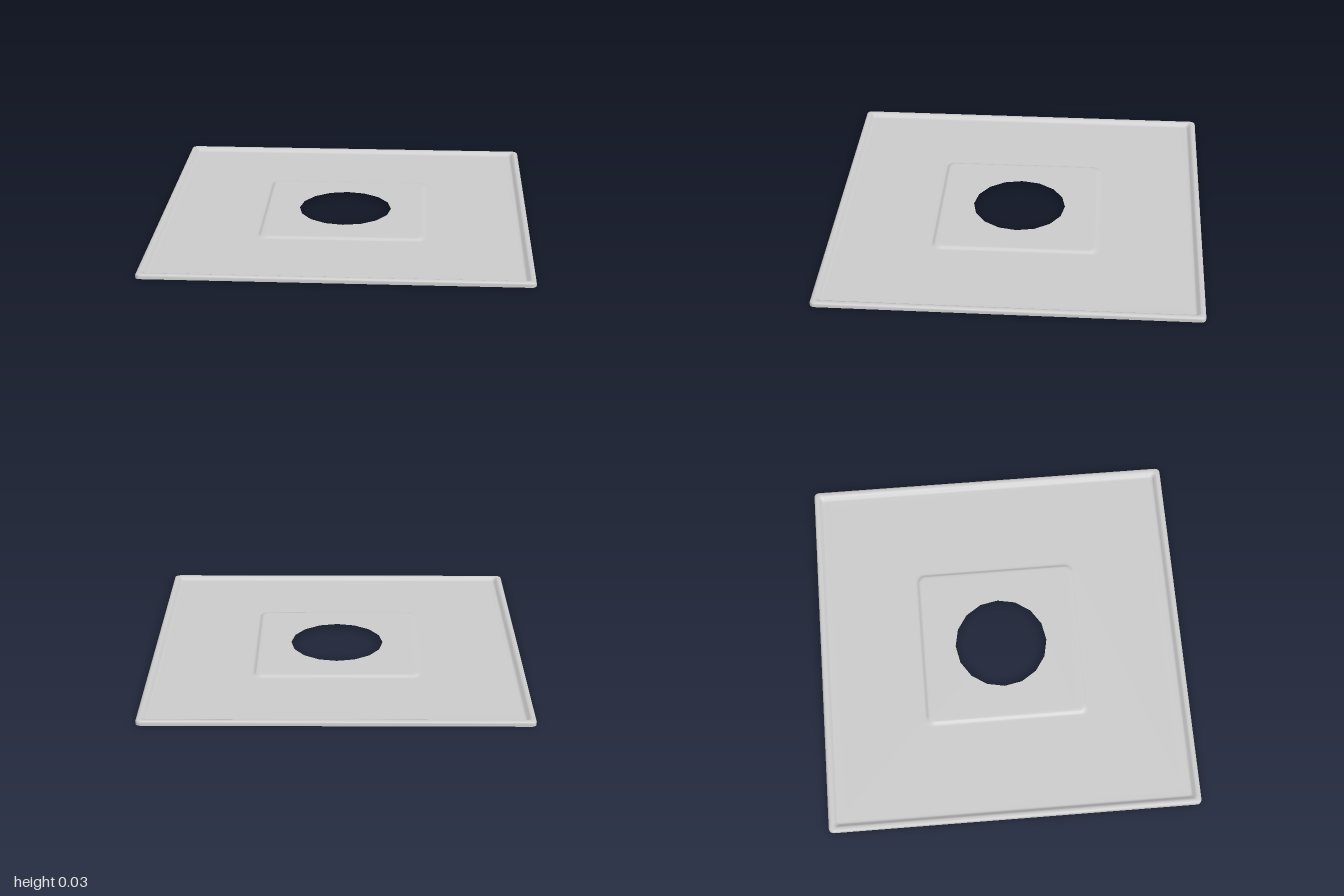
import * as THREE from 'three';

const material = new THREE.MeshStandardMaterial({ color: 0xcccccc, side: THREE.DoubleSide });

// Rounded square outline: half size h, corner radius r, n segments per corner
function outline(h, r, n = 5) {
  const points = [];
  for (let c = 0; c < 4; c++) {
    const mid = Math.PI / 4 + c * Math.PI / 2;
    const cx = Math.sign(Math.cos(mid)) * (h - r), cz = Math.sign(Math.sin(mid)) * (h - r);
    for (let i = 0; i <= n; i++) {
      const a = (c + i / n) * Math.PI / 2;
      points.push(new THREE.Vector2(cx + r * Math.cos(a), cz + r * Math.sin(a)));
    }
  }
  return points;
}

// Skin through rounded squares given as [half size, corner radius, height], from outside in
function loft(rings) {
  const positions = [], index = [];
  const loops = rings.map(([h, r]) => outline(h, r));
  const n = loops[0].length;
  loops.forEach((loop, k) => loop.forEach(p => positions.push(p.x, rings[k][2], p.y)));
  for (let k = 0; k < rings.length - 1; k++) {
    for (let i = 0; i < n; i++) {
      const j = (i + 1) % n, a = k * n + i, b = k * n + j;
      index.push(a, a + n, b, b, a + n, b + n);
    }
  }
  const geometry = new THREE.BufferGeometry();
  geometry.setAttribute('position', new THREE.Float32BufferAttribute(positions, 3));
  geometry.setIndex(index);
  geometry.computeVertexNormals();
  return geometry;
}

export function createModel() {
  const group = new THREE.Group();
  const add = (name, geometry) => {
    const mesh = new THREE.Mesh(geometry, material);
    mesh.name = name;
    group.add(mesh);
    return mesh;
  };

  // Folded rim: outer wall, rounded crest, inner slope down to the sheet
  add('rim', loft([
    [1, 0.025, 0], [1, 0.025, 0.015], [0.997, 0.024, 0.021], [0.99, 0.022, 0.025],
    [0.977, 0.02, 0.025], [0.969, 0.018, 0.022], [0.957, 0.016, 0.009],
    [0.951, 0.015, 0.006], [0.943, 0.014, 0.005], [0.9, 0.013, 0.005],
  ]));

  // Flat sheet with the step up to the central pad
  add('sheet', loft([
    [0.9, 0.013, 0.005], [0.46, 0.05, 0.005], [0.447, 0.046, 0.005], [0.441, 0.044, 0.007],
    [0.431, 0.04, 0.014], [0.425, 0.036, 0.016], [0.41, 0.03, 0.016],
  ]));

  // Raised pad with a sixteen-sided hole
  const shape = new THREE.Shape(outline(0.41, 0.03));
  const hole = Array.from({ length: 16 }, (_, i) => {
    const a = -i * Math.PI / 8;
    return new THREE.Vector2(0.253 * Math.cos(a), 0.253 * Math.sin(a));
  });
  shape.holes.push(new THREE.Path(hole));
  const pad = add('centralPad', new THREE.ShapeGeometry(shape));
  pad.rotation.x = -Math.PI / 2;
  pad.position.y = 0.016;

  return group;
}
